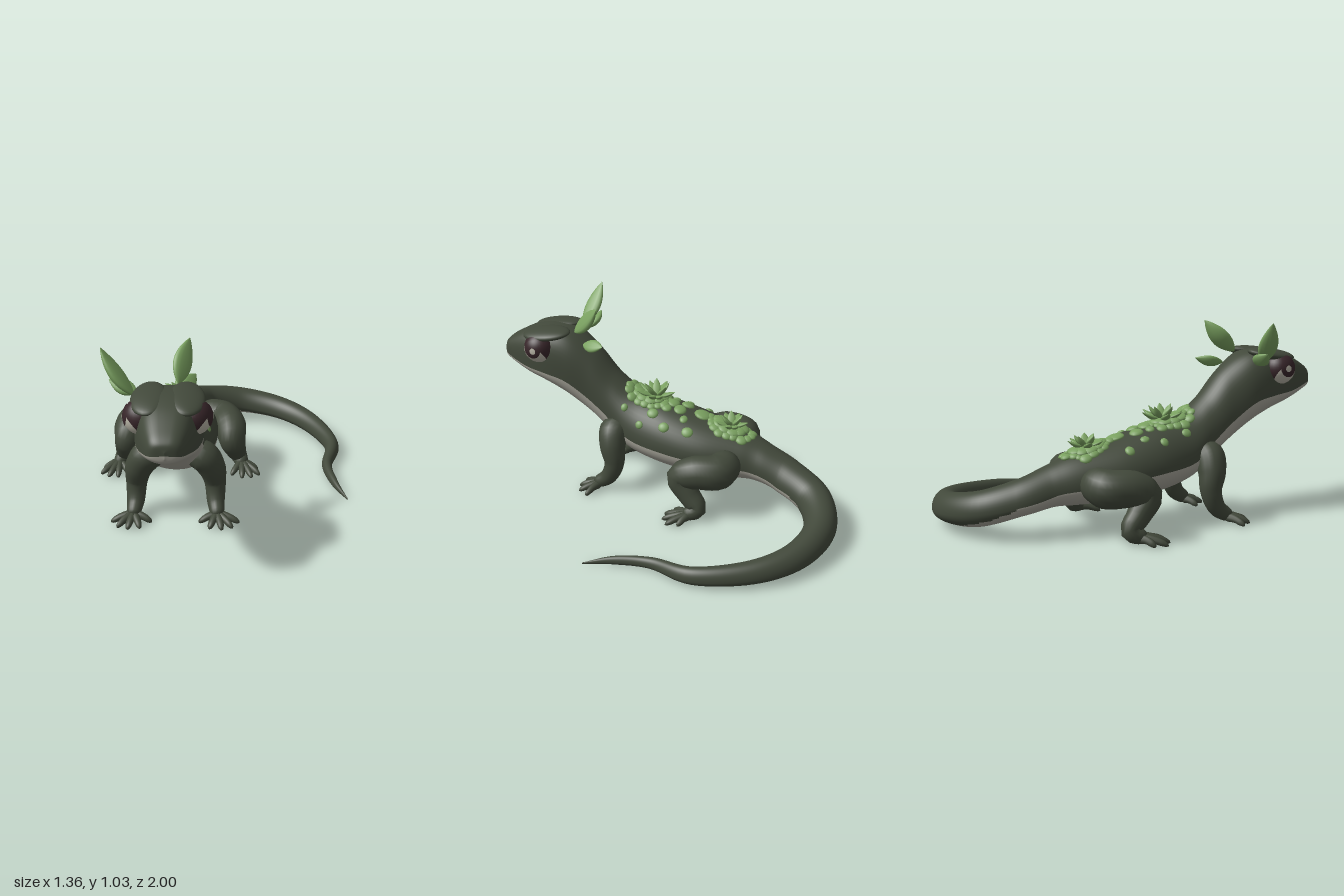
import * as THREE from 'three';
import { mergeVertices } from 'three/addons/utils/BufferGeometryUtils.js';

const V = (x, y, z) => new THREE.Vector3(x, y, z);
const mat = (name, color, side = THREE.FrontSide) => {
  const m = new THREE.MeshStandardMaterial({ color, side });
  m.name = name;
  return m;
};
const CX = -0.24; // centre line of the body

// Body and tail stations, snout to tail tip: x, z, top, colour split, bottom, half width
const STATIONS = [
  [CX, 1.0, 0.715, 0.7, 0.685, 0], [CX, 0.985, 0.755, 0.69, 0.655, 0.065],
  [CX, 0.93, 0.795, 0.675, 0.63, 0.1], [CX, 0.82, 0.85, 0.65, 0.585, 0.138],
  [CX, 0.7, 0.875, 0.635, 0.54, 0.158], [CX, 0.58, 0.855, 0.605, 0.475, 0.157],
  [CX, 0.45, 0.765, 0.515, 0.385, 0.142], [CX, 0.33, 0.635, 0.42, 0.29, 0.147],
  [CX, 0.2, 0.545, 0.33, 0.215, 0.18], [CX, 0, 0.505, 0.3, 0.165, 0.21],
  [CX, -0.2, 0.455, 0.28, 0.15, 0.205], [CX, -0.4, 0.405, 0.25, 0.15, 0.155],
  [-0.23, -0.52, 0.36, 0.23, 0.15, 0.122], [-0.205, -0.67, 0.3, 0.18, 0.115, 0.11],
  [-0.11, -0.84, 0.24, 0.135, 0.06, 0.096], [0.1, -0.917, 0.195, 0.1, 0.042, 0.083],
  [0.34, -0.855, 0.16, 0.075, 0.03, 0.073], [0.52, -0.685, 0.13, 0.06, 0.015, 0.059],
  [0.628, -0.42, 0.1, 0.045, 0.01, 0.042], [0.585, -0.19, 0.07, 0.035, 0.01, 0.028],
  [0.613, 0, 0.05, 0.025, 0.005, 0.019], [0.67, 0.15, 0.012, 0.008, 0.004, 0.002],
];

// Loft of the whole body; group 0 is the back, group 1 the belly
function bodyGeometry() {
  const spine = new THREE.CatmullRomCurve3(STATIONS.map(s => V(s[0], s[3], s[1])), false, 'catmullrom');
  const size = new THREE.CatmullRomCurve3(STATIONS.map(s => V(s[5], s[2], s[4])), false, 'catmullrom');
  const rows = 168, N = 48, last = STATIONS.length - 1;
  const pos = [], back = [], belly = [];
  for (let i = 0; i <= rows; i++) {
    const t = i / rows, c = spine.getPoint(t), d = size.getPoint(t);
    const tan = spine.getTangent(t).setY(0).normalize();
    const e = THREE.MathUtils.lerp(0.66, 1, THREE.MathUtils.smoothstep(t * last, 4, 7));
    // the pale strip tapers out along the inner side of the tail
    const taper = Math.max(0, (t * last - 13) / 3.4) * N / 2;
    for (let j = 0; j < N; j++) {
      const a = j / N * Math.PI * 2, co = Math.cos(a), si = Math.sin(a);
      const k = si >= 0 ? e : 1;
      const w = Math.max(d.x, 0) * Math.sign(co) * Math.abs(co) ** k;
      const h = si >= 0 ? (d.y - c.y) * si ** k : (c.y - d.z) * si;
      pos.push(c.x - tan.z * w, c.y + h, c.z + tan.x * w);
      if (i === rows) continue;
      const n = (j + 1) % N, p = i * N + j, q = i * N + n;
      const low = j >= N / 2 + taper * 0.7 && j < N - taper * 0.3;
      (low ? belly : back).push(p, p + N, q, q, p + N, q + N);
    }
  }
  const g = new THREE.BufferGeometry();
  g.setAttribute('position', new THREE.Float32BufferAttribute(pos, 3));
  g.setIndex([...back, ...belly]);
  g.addGroup(0, back.length, 0);
  g.addGroup(back.length, belly.length, 1);
  g.computeVertexNormals();
  return g;
}

// Round-ended tube through points [x, y, z, radius]
function limbGeometry(pts, segs = 36, radial = 18) {
  const curve = new THREE.CatmullRomCurve3(pts.map(p => V(p[0], p[1], p[2])));
  const len = curve.getLength(), g = new THREE.TubeGeometry(curve, segs, 1, radial);
  const p = g.attributes.position, v = V(0, 0, 0);
  for (let i = 0; i < p.count; i++) {
    const u = Math.floor(i / (radial + 1)) / segs, c = curve.getPointAt(u);
    const f = curve.getUtoTmapping(u) * (pts.length - 1), k = Math.min(Math.floor(f), pts.length - 2);
    let r = THREE.MathUtils.lerp(pts[k][3], pts[k + 1][3], f - k);
    const end = Math.min(u, 1 - u) * len;
    if (end < r) r *= Math.sqrt(Math.max(0, 1 - (1 - end / r) ** 2));
    v.fromBufferAttribute(p, i).sub(c).multiplyScalar(r).add(c);
    p.setXYZ(i, v.x, v.y, v.z);
  }
  g.deleteAttribute('normal');
  g.deleteAttribute('uv');
  const m = mergeVertices(g, 1e-5);
  m.computeVertexNormals();
  return m;
}

// Plump pointed leaf of unit length along y, slightly cupped
function leafGeometry(width) {
  const profile = [];
  for (let i = 0; i <= 12; i++) {
    const t = i / 12;
    profile.push(new THREE.Vector2(Math.max(0, width * Math.sin(Math.PI * t ** 0.9) ** 0.85), t));
  }
  const g = new THREE.LatheGeometry(profile, 14), p = g.attributes.position;
  for (let i = 0; i < p.count; i++) {
    const x = p.getX(i), y = p.getY(i);
    p.setZ(i, p.getZ(i) * 0.5 + Math.abs(x) * 0.12 - 0.25 * y * (1 - y));
  }
  g.computeVertexNormals();
  return g;
}

// Height of the back at a given offset from the centre line
function backHeight(dx, z) {
  let i = 0;
  while (i < 10 && STATIONS[i + 1][1] > z) i++;
  const a = STATIONS[i], b = STATIONS[i + 1], f = (a[1] - z) / (a[1] - b[1]);
  const [top, split, w] = [2, 3, 5].map(k => THREE.MathUtils.lerp(a[k], b[k], f));
  return split + (top - split) * Math.sqrt(Math.max(0.02, 1 - (dx / w) ** 2));
}

export function createModel() {
  const skin = mat('dark green skin', 0x42493b), pale = mat('pale belly', 0xa5a398);
  const leaf = mat('leaf green', 0x7aa160, THREE.DoubleSide);
  const dark = mat('dark eye', 0x38262a), iris = mat('pale iris', 0xbab6a8);
  const model = new THREE.Group();
  const add = (name, geo, material, parent = model) => {
    const m = new THREE.Mesh(geo, material);
    m.name = name;
    parent.add(m);
    return m;
  };
  let seed = 7;
  const rnd = () => (seed = (seed * 16807) % 2147483647) / 2147483647;

  add('bodyAndTail', bodyGeometry(), [skin, pale]);

  // Legs: [offset from centre line, y, z, radius], and toe tips [offset, z]
  const legs = {
    front: {
      path: [[0.05, 0.35, 0.28, 0.07], [0.14, 0.345, 0.3, 0.082], [0.186, 0.275, 0.29, 0.072],
        [0.203, 0.18, 0.275, 0.055], [0.207, 0.09, 0.31, 0.046], [0.218, 0.034, 0.39, 0.033]],
      palm: [0.215, 0.36], toes: [[0.12, 0.4], [0.175, 0.465], [0.24, 0.475], [0.295, 0.455], [0.33, 0.4]],
    },
    hind: {
      path: [[0.09, 0.29, -0.36, 0.08], [0.23, 0.265, -0.335, 0.097], [0.278, 0.262, -0.22, 0.09],
        [0.288, 0.225, -0.145, 0.075], [0.305, 0.14, -0.2, 0.061], [0.325, 0.07, -0.255, 0.049],
        [0.355, 0.033, -0.18, 0.033]],
      palm: [0.345, -0.22], toes: [[0.285, -0.11], [0.345, -0.075], [0.4, -0.08], [0.445, -0.115], [0.435, -0.18]],
    },
  };
  for (const s of [1, -1]) {
    const side = s > 0 ? 'Left' : 'Right';
    for (const [name, L] of Object.entries(legs)) {
      add(name + 'Leg' + side, limbGeometry(L.path.map(p => [CX + s * p[0], p[1], p[2], p[3]])), skin);
      const [px, pz] = L.palm;
      for (const [tx, tz] of L.toes) {
        const at = (f, y, r) => [CX + s * (px + (tx - px) * f), y, pz + (tz - pz) * f, r];
        add(name + 'Toe' + side, limbGeometry(
          [at(0, 0.038, 0.027), at(0.5, 0.034, 0.019), at(0.8, 0.022, 0.016), at(1, 0.01, 0.007)], 16, 10), skin);
      }
    }

    // Eye: dark ball with pale lower iris, dark pupil and a glint
    const eye = new THREE.Group();
    eye.name = 'eye' + side;
    eye.position.set(CX + s * 0.118, 0.773, 0.745);
    model.add(eye);
    add('eyeball', new THREE.SphereGeometry(0.084, 32, 20), dark, eye);
    const cap = (name, r, angle, dir, m) => add(name, new THREE.SphereGeometry(r, 28, 10, 0, Math.PI * 2, 0, angle), m, eye)
      .quaternion.setFromUnitVectors(V(0, 1, 0), dir.normalize());
    cap('iris', 0.0855, 0.95, V(s, -0.75, 0.25), iris);
    cap('pupil', 0.087, 0.62, V(s, 0.14, 0.12), dark);
    cap('glint', 0.0885, 0.2, V(s, 0.06, 0), iris);

    // Brow ridge blending into the skull, and nostril
    const brow = add('brow' + side, new THREE.SphereGeometry(1, 28, 18), skin);
    brow.scale.set(0.085, 0.03, 0.14);
    brow.position.set(CX + s * 0.086, 0.846, 0.715);
    brow.rotation.set(0.14, 0, -s * 0.1);
    add('nostril' + side, new THREE.SphereGeometry(0.007, 10, 8), dark)
      .position.set(CX + s * 0.05, 0.735, 0.972);
  }

  // A leaf from base to tip, its face turned toward the hint direction
  const putLeaf = (name, base, tip, width, hint) => {
    const y = tip.clone().sub(base), len = y.length();
    y.normalize();
    const x = y.clone().cross(hint).normalize(), z = x.clone().cross(y);
    const m = add(name, leafGeometry(width / len), leaf);
    m.quaternion.setFromRotationMatrix(new THREE.Matrix4().makeBasis(x, y, z));
    m.scale.setScalar(len);
    m.position.copy(base);
  };
  putLeaf('tallHeadLeafRight', V(-0.4, 0.81, 0.61), V(-0.557, 1.03, 0.555), 0.05, V(1, 0.6, 0.35));
  putLeaf('smallHeadLeafRight', V(-0.39, 0.81, 0.57), V(-0.525, 0.87, 0.55), 0.042, V(0.2, 1, 0.7));
  putLeaf('tallHeadLeafLeft', V(-0.2, 0.855, 0.57), V(-0.15, 1.025, 0.41), 0.052, V(0.7, 0.5, 0.6));
  putLeaf('smallHeadLeafLeft', V(-0.18, 0.8, 0.51), V(-0.125, 0.825, 0.37), 0.038, V(0.8, 0.8, 0));

  // Moss pads lying on the back
  const padGeo = new THREE.SphereGeometry(1, 14, 8);
  const pad = (dx, z, r, lift = 0) => {
    const y = backHeight(dx, z), h = 0.01;
    const n = V((backHeight(dx - h, z) - backHeight(dx + h, z)) / (2 * h), 1,
      (backHeight(dx, z - h) - backHeight(dx, z + h)) / (2 * h)).normalize();
    const m = add('mossPad', padGeo, leaf);
    m.position.set(CX + dx, y, z).addScaledVector(n, lift);
    m.quaternion.setFromUnitVectors(V(0, 1, 0), n);
    m.scale.set(r, Math.min(r * 0.5, 0.016), r * (0.85 + rnd() * 0.3));
  };
  // Clumps: centre z, half width, half length, rosette z, rosette leaf length
  for (const [cz, hw, hl, rz, size] of [[0.14, 0.09, 0.115, 0.1, 0.12], [-0.33, 0.082, 0.115, -0.335, 0.1]]) {
    for (let i = 0; i < 18; i++) {
      const a = i / 18 * Math.PI * 2, k = 0.85 + rnd() * 0.25;
      pad(Math.cos(a) * hw * k, cz + Math.sin(a) * hl * k, 0.022 + rnd() * 0.01);
      if (i % 2) pad(Math.cos(a) * hw * 0.5, cz + Math.sin(a) * hl * 0.55, 0.042, 0.008);
    }
    for (let i = 0; i < 12; i++) {
      const a = i * 2.4, up = i < 7 ? 0.4 : 1.1;
      const base = V(CX, backHeight(0, rz) + 0.008, rz);
      const dir = V(Math.cos(a), up, Math.sin(a)).normalize();
      putLeaf('rosetteLeaf', base, base.clone().addScaledVector(dir, size * (i < 7 ? 1 : 0.85)), 0.022, V(0, 1, 0.01));
    }
  }
  // Loose spots between and beside the clumps
  const spots = [[0, -0.17, 0.048], [-0.04, -0.07, 0.035], [0.035, -0.05, 0.038], [0, 0, 0.04], [-0.055, 0.0, 0.026],
    [0.06, 0.02, 0.028], [0.09, -0.09, 0.026], [0.145, -0.13, 0.03], [0.115, 0.08, 0.03], [0.16, 0.0, 0.028],
    [0.165, 0.14, 0.022], [0.13, 0.24, 0.022], [-0.14, -0.16, 0.028], [-0.11, -0.06, 0.022], [-0.15, 0.03, 0.024],
    [-0.13, 0.17, 0.024]];
  for (const [dx, z, r] of spots) pad(dx, z, r);

  return model;
}
